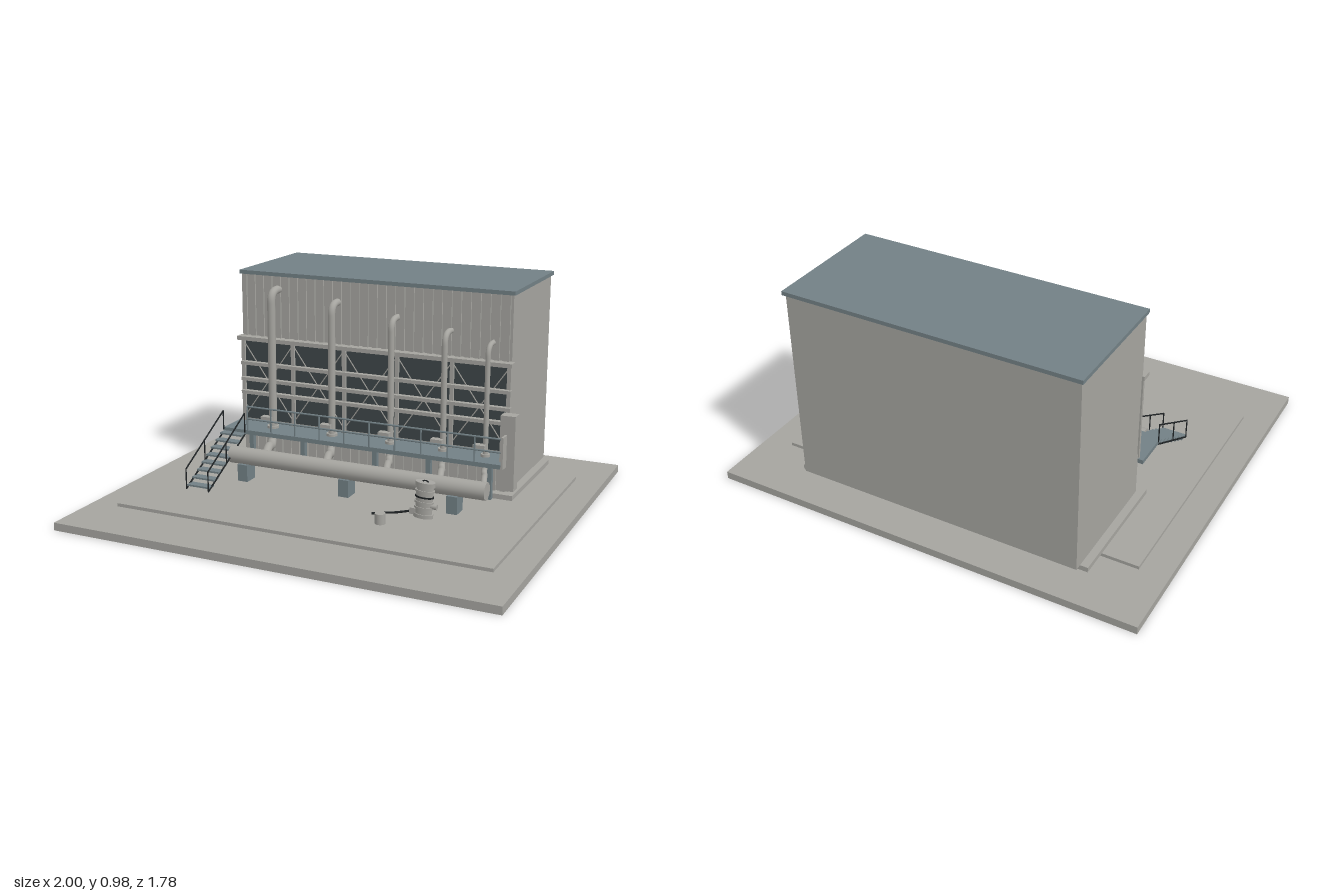
import * as THREE from 'three';

export function createModel() {
  const root = new THREE.Group();
  root.name = 'coolingPlant';

  const mat = (name, color, extra = {}) =>
    Object.assign(new THREE.MeshStandardMaterial({ color, ...extra }), { name });
  const concrete = mat('concreteGrey', 0xa5a49f);
  const steel = mat('blueGreySteel', 0x728085);
  const dark = mat('louvreDark', 0x3e4648);
  const black = mat('black', 0x1e2224);

  const add = (name, geo, m, parent = root) => {
    const mesh = new THREE.Mesh(geo, m);
    mesh.name = name;
    parent.add(mesh);
    return mesh;
  };
  // Box given by its minimum and maximum corners
  const box = (name, m, x0, x1, y0, y1, z0, z1, parent) => {
    const b = add(name, new THREE.BoxGeometry(x1 - x0, y1 - y0, z1 - z0), m, parent);
    b.position.set((x0 + x1) / 2, (y0 + y1) / 2, (z0 + z1) / 2);
    return b;
  };
  const V = (x, y, z) => new THREE.Vector3(x, y, z);
  // Straight round bar between two points
  const rod = (name, m, a, b, r, parent, sides = 8) => {
    const d = b.clone().sub(a);
    const c = add(name, new THREE.CylinderGeometry(r, r, d.length(), sides), m, parent);
    c.position.copy(a).add(b).multiplyScalar(0.5);
    c.quaternion.setFromUnitVectors(V(0, 1, 0), d.normalize());
    return c;
  };
  const group = (name) => {
    const g = new THREE.Group();
    g.name = name;
    root.add(g);
    return g;
  };

  // Ground slabs and plinth
  box('groundSlab', concrete, -1, 1, 0, 0.035, -0.89, 0.89);
  box('upperSlab', concrete, -0.87, 0.87, 0.035, 0.05, -0.59, 0.61);
  box('plinth', concrete, -0.705, 0.7, 0.05, 0.073, -0.72, -0.145);

  // Building and roof
  box('building', concrete, -0.67, 0.665, 0.073, 0.965, -0.752, -0.192);
  box('roof', steel, -0.68, 0.675, 0.965, 0.983, -0.765, -0.178);

  // Vertical cladding ribs on the front wall
  const cladding = group('cladding');
  for (let i = 0; i < 30; i++) {
    const x = -0.67 + i * 0.0448;
    box('upperRib', concrete, x, x + 0.024, 0.655, 0.965, -0.192, -0.183, cladding);
    box('lowerRib', concrete, x, x + 0.024, 0.073, 0.27, -0.192, -0.183, cladding);
  }

  // Louvre bank with frame, rails and cross braces
  const louvre = group('louvreBank');
  box('louvrePanel', dark, -0.665, 0.66, 0.262, 0.655, -0.19, -0.181, louvre);
  const bays = 5, bayW = 1.325 / bays;
  for (let i = 0; i <= bays; i++) {
    const x = -0.665 + i * bayW;
    box('mullion', concrete, x - 0.009, x + 0.009, 0.25, 0.66, -0.183, -0.17, louvre);
    if (i === bays) break;
    for (const [a, b] of [[0.27, 0.645], [0.645, 0.27]])
      rod('crossBrace', concrete, V(x, a, -0.176), V(x + bayW, b, -0.176), 0.0028, louvre, 5);
  }
  box('topBeam', concrete, -0.682, 0.68, 0.652, 0.671, -0.192, -0.145, louvre);
  for (const y of [0.54, 0.462, 0.397])
    box('louvreRail', concrete, -0.668, 0.675, y - 0.008, y + 0.008, -0.178, -0.152, louvre);

  // Walkway with legs and guard rail
  const walkway = group('walkway');
  box('deck', steel, -0.695, 0.69, 0.23, 0.25, -0.185, -0.025, walkway);
  for (const x of [-0.6, -0.325, 0.045, 0.31, 0.6])
    box('deckLeg', steel, x - 0.011, x + 0.011, 0.05, 0.23, -0.14, -0.118, walkway);
  for (const y of [0.305, 0.365])
    rod('guardRail', steel, V(-0.57, y, -0.03), V(0.685, y, -0.03), 0.0045, walkway);
  for (let i = 0; i <= 10; i++) {
    const x = -0.57 + i * 0.1255;
    rod('guardPost', steel, V(x, 0.25, -0.03), V(x, 0.365, -0.03), 0.004, walkway);
  }
  box('endPanel', concrete, 0.682, 0.692, 0.23, 0.375, -0.195, -0.02, walkway);

  // Control cabinet column at the end of the walkway
  box('cabinet', concrete, 0.66, 0.728, 0.12, 0.46, -0.122, -0.07);

  // Stairs with stringers and handrails
  const stairs = group('stairs');
  const steps = 8;
  for (let i = 0; i < steps; i++) {
    const z = -0.025 + i * 0.0425, y = 0.235 - i * 0.0235;
    box('tread', steel, -0.695, -0.58, y - 0.008, y, z, z + 0.042, stairs);
  }
  for (const x of [-0.695, -0.58]) {
    rod('stringer', black, V(x, 0.23, -0.02), V(x, 0.055, 0.315), 0.004, stairs);
    rod('handrail', black, V(x, 0.332, -0.02), V(x, 0.145, 0.32), 0.0035, stairs);
    for (const [z, y0, y1] of [[-0.02, 0.24, 0.332], [0.155, 0.14, 0.236], [0.32, 0.05, 0.145]])
      rod('handrailPost', black, V(x, y0, z), V(x, y1, z), 0.003, stairs);
  }

  // Main header pipe on its piers
  rod('headerPipe', concrete, V(-0.59, 0.163, 0.085), V(0.66, 0.163, 0.085), 0.04, root, 28);
  for (const x of [-0.515, 0, 0.515])
    box('headerPier', steel, x - 0.025, x + 0.025, 0.05, 0.13, 0.05, 0.123);

  // Risers: out of the wall, down through the deck and across to the header
  const risers = group('risers');
  const specs = [
    [-0.48, 0.922, 0.019], [-0.17, 0.885, 0.017], [0.125, 0.837, 0.0145],
    [0.38, 0.798, 0.0135], [0.58, 0.762, 0.0115],
  ];
  for (const [x, top, r] of specs) {
    const y = top - r, z = -0.118, b = 0.05;
    const path = new THREE.CurvePath();
    path.add(new THREE.LineCurve3(V(x, y, -0.2), V(x, y, z - b)));
    path.add(new THREE.QuadraticBezierCurve3(V(x, y, z - b), V(x, y, z), V(x, y - b, z)));
    path.add(new THREE.LineCurve3(V(x, y - b, z), V(x, 0.22, z)));
    add('riser', new THREE.TubeGeometry(path, 70, r, 14), concrete, risers);
    const stub = new THREE.CatmullRomCurve3([
      V(x, 0.235, z), V(x + 0.005, 0.185, z + 0.025), V(x + 0.02, 0.18, z + 0.06),
      V(x + 0.036, 0.19, z + 0.115), V(x + 0.058, 0.17, 0.07),
    ]);
    add('headerBranch', new THREE.TubeGeometry(stub, 28, r + 0.002, 14), concrete, risers);
    // Valve body, stem and deck flange
    box('valveBox', concrete, x - 0.048, x + 0.006, 0.283, 0.307, -0.117, -0.083, risers);
    rod('riserFlange', concrete, V(x, 0.25, z), V(x, 0.262, z), r + 0.009, risers, 16);
  }

  // Portable pump: tilted ribbed body with base, cap and lifting handle
  const pump = group('pump');
  pump.position.set(0.42, 0.05, 0.213);
  pump.rotation.z = -0.06;
  const part = (name, m, r, y0, y1, sx = 1.6) => {
    const c = add(name, new THREE.CylinderGeometry(r, r, y1 - y0, 20), m, pump);
    c.position.y = (y0 + y1) / 2;
    c.scale.x = sx;
  };
  part('pumpBase', concrete, 0.028, 0.005, 0.022);
  part('pumpBody', concrete, 0.024, 0.022, 0.15);
  part('pumpCap', concrete, 0.028, 0.145, 0.165);
  for (const y of [0.045, 0.07, 0.12]) part('pumpBand', concrete, 0.0275, y, y + 0.009);
  part('pumpSeal', black, 0.0265, 0.095, 0.102);
  const handle = add('pumpHandle', new THREE.TorusGeometry(0.018, 0.003, 6, 14, Math.PI), black, pump);
  handle.position.y = 0.152;
  box('pumpOutlet', concrete, -0.06, -0.03, 0.012, 0.04, -0.014, 0.014, pump);
  rod('pumpPort', concrete, V(0.03, 0.06, 0), V(0.06, 0.06, 0), 0.012, pump, 12);

  // Hose and drain post
  const hosePath = new THREE.CatmullRomCurve3([
    V(0.375, 0.075, 0.205), V(0.335, 0.065, 0.21), V(0.29, 0.058, 0.225),
    V(0.245, 0.057, 0.243), V(0.205, 0.057, 0.275),
  ]);
  add('hose', new THREE.TubeGeometry(hosePath, 30, 0.005, 8), black);
  rod('drainPost', concrete, V(0.28, 0.05, 0.35), V(0.28, 0.096, 0.35), 0.023, root, 18);

  return root;
}
